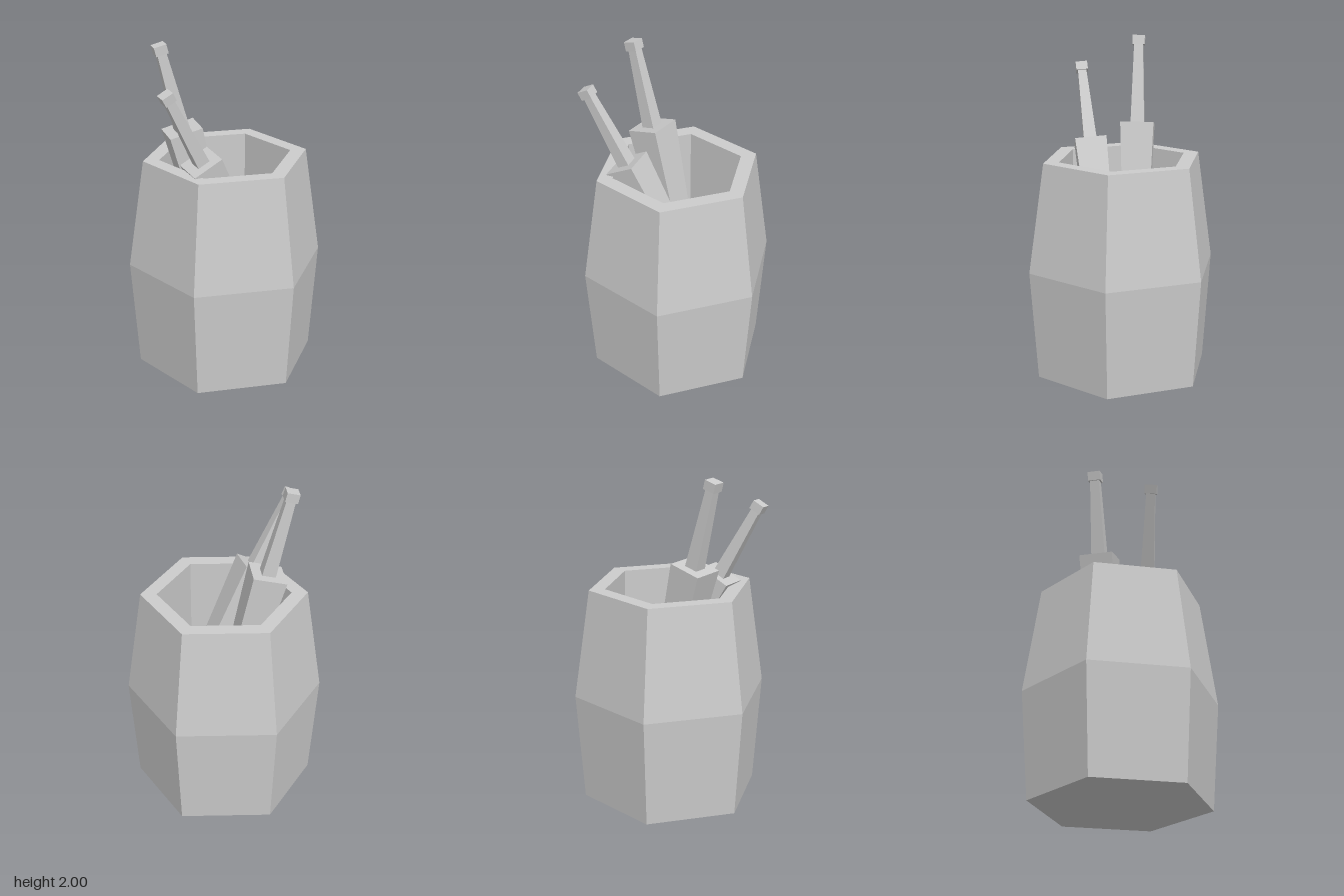
import * as THREE from 'three';

const material = new THREE.MeshStandardMaterial({ color: 0xcccccc, flatShading: true });

// Square-section tapered bar running from y0 up to y1
function bar(name, bottomWidth, topWidth, y0, y1) {
  const geo = new THREE.CylinderGeometry(topWidth / Math.SQRT2, bottomWidth / Math.SQRT2, y1 - y0, 4);
  geo.rotateY(Math.PI / 4);
  geo.translate(0, (y0 + y1) / 2, 0);
  const mesh = new THREE.Mesh(geo, material);
  mesh.name = name;
  return mesh;
}

// Sword with its origin at the middle of the blade's broad upper end;
// up points to the pommel, side fixes the turn about that axis
function sword(name, origin, up, side, scale) {
  const group = new THREE.Group();
  group.name = name;
  group.add(
    bar('blade', 0.09, 0.2, -1.475, 0),
    bar('grip', 0.082, 0.054, 0, 0.48),
    bar('pommel', 0.075, 0.075, 0.475, 0.53)
  );
  const y = new THREE.Vector3(...up).normalize();
  const x = new THREE.Vector3().crossVectors(y, new THREE.Vector3(...side)).normalize();
  const z = new THREE.Vector3().crossVectors(x, y);
  group.quaternion.setFromRotationMatrix(new THREE.Matrix4().makeBasis(x, y, z));
  group.position.set(...origin);
  group.scale.setScalar(scale);
  return group;
}

export function createModel() {
  const model = new THREE.Group();
  model.name = 'swordBarrel';

  // Six-sided hollow barrel: base, bulging wall, flat rim, inner wall, floor
  const profile = [
    [0, 0], [0.538, 0], [0.586, 0.655], [0.49, 1.31],
    [0.394, 1.31], [0.394, 0.04], [0, 0.04]
  ].map(([r, y]) => new THREE.Vector2(r, y));
  const start = THREE.MathUtils.degToRad(84.1);
  const barrel = new THREE.Mesh(new THREE.LatheGeometry(profile, 6, start), material);
  barrel.name = 'barrel';
  model.add(barrel);

  // Two swords leaning against the rim
  model.add(
    sword('tallSword', [-0.2425, 1.475, -0.077], [-0.245, 0.97, 0], [0, 0, 1], 1),
    sword('leaningSword', [-0.215, 1.365, 0.21], [-0.442, 0.885, 0.145], [0.13, 0, 0.99], 0.95)
  );
  return model;
}
